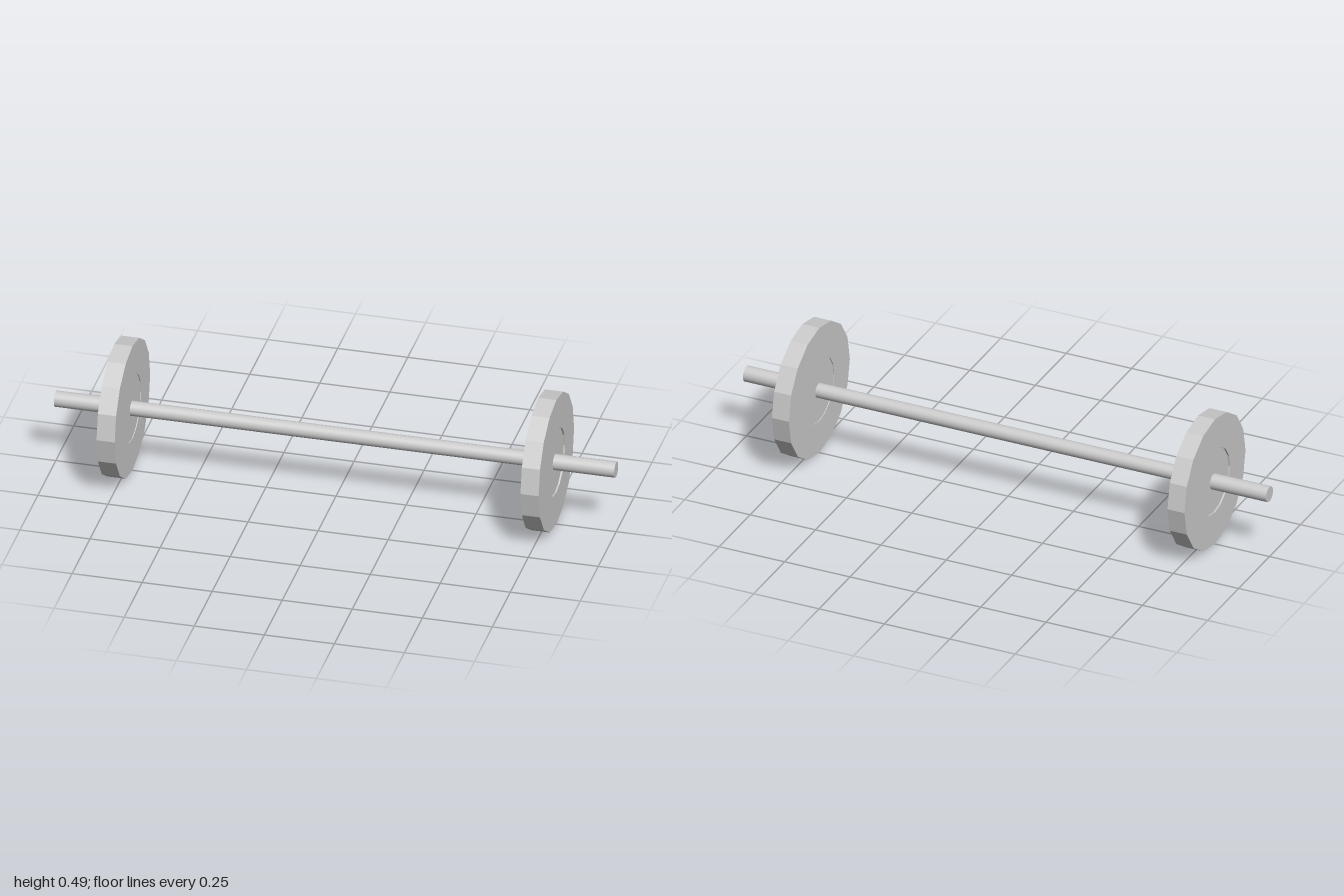
import * as THREE from 'three';

const AXLE_Y = 0.247;

export function createModel() {
  const model = new THREE.Group();
  model.name = 'barbell';
  const smooth = new THREE.MeshStandardMaterial({ color: 0xcccccc });
  const faceted = new THREE.MeshStandardMaterial({ color: 0xcccccc, flatShading: true });

  // Round rod lying along x
  function addRod(name, radius, x0, x1) {
    const rod = new THREE.Mesh(new THREE.CylinderGeometry(radius, radius, x1 - x0, 32), smooth);
    rod.name = name;
    rod.rotation.z = -Math.PI / 2;
    rod.position.set((x0 + x1) / 2, AXLE_Y, 0);
    model.add(rod);
  }

  // Thinner grip between the plates
  addRod('grip', 0.0265, -0.76, 0.755);

  // 16-sided plate with a shallow round recess on both faces; +y is the outer face
  const half = 0.0325, rim = 0.247, hub = 0.122;
  const profile = [
    [0, -half + 0.003], [hub, -half + 0.003], [hub, -half],
    [rim, -half], [rim, half],
    [hub, half], [hub, half - 0.006], [0, half - 0.006],
  ].map(([r, y]) => new THREE.Vector2(r, y));
  const plateGeometry = new THREE.LatheGeometry(profile, 16);

  for (const [side, sign, x] of [['left', 1, 0.754], ['right', -1, -0.759]]) {
    const plate = new THREE.Mesh(plateGeometry, faceted);
    plate.name = side + 'Plate';
    plate.rotation.z = -sign * Math.PI / 2;
    plate.position.set(x, AXLE_Y, 0);
    model.add(plate);

    // Sleeve sticking out past the plate
    addRod(side + 'Sleeve', 0.0285, Math.min(x, sign), Math.max(x, sign));
  }
  return model;
}
